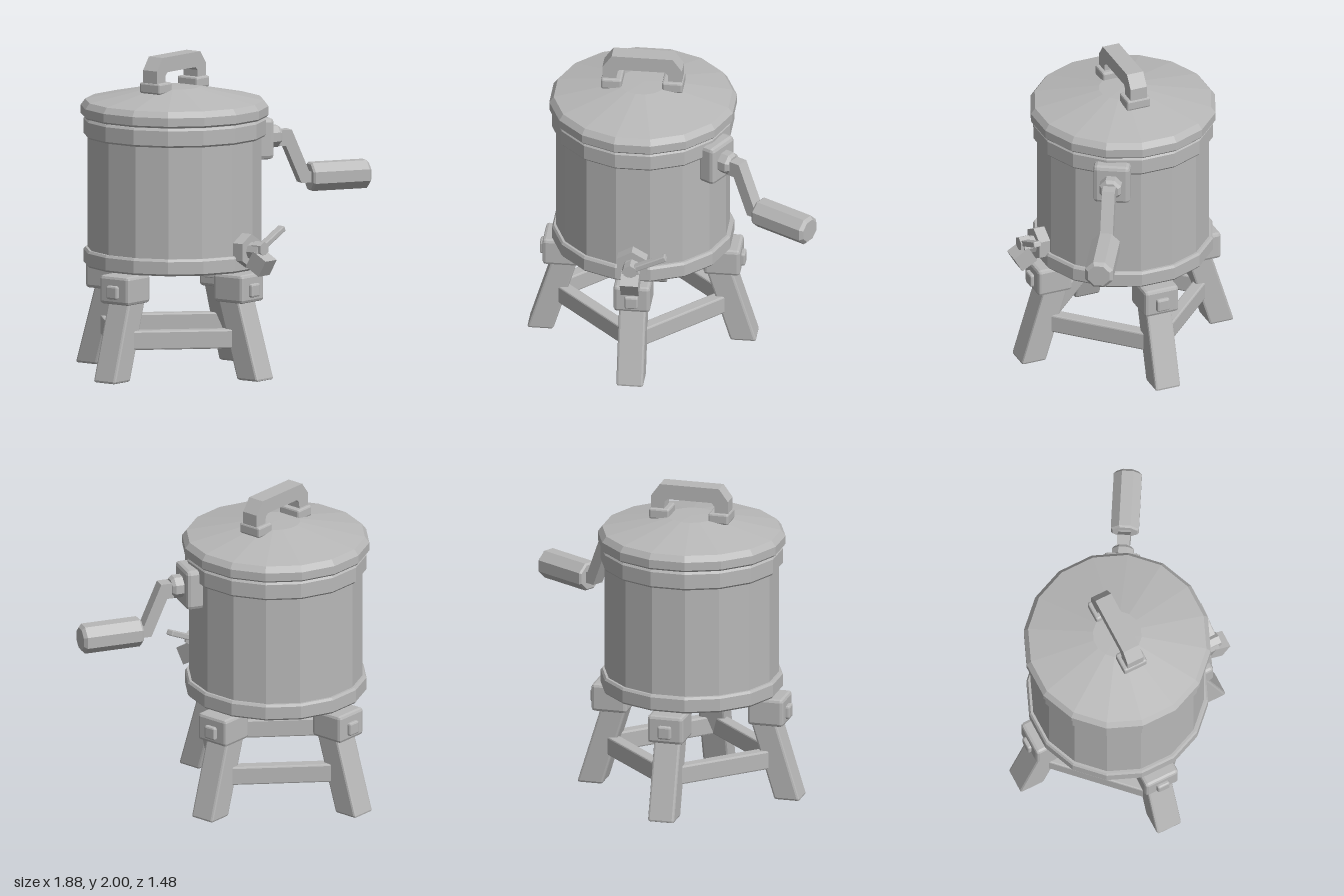
import * as THREE from 'three';
import { RoundedBoxGeometry } from 'three/addons/geometries/RoundedBoxGeometry.js';

export function createModel() {
  const metal = new THREE.MeshStandardMaterial({ color: 0xb8b8b8 });
  metal.name = 'plain grey';
  metal.flatShading = true;

  const model = new THREE.Group();
  model.name = 'crankBarrel';
  const core = new THREE.Group(); // everything is laid out around the barrel axis
  core.name = 'barrelOnStand';
  core.position.set(-0.227, 0, -0.018);
  model.add(core);

  const add = (parent, name, geometry, x = 0, y = 0, z = 0) => {
    const mesh = new THREE.Mesh(geometry, metal);
    mesh.name = name;
    mesh.position.set(x, y, z);
    parent.add(mesh);
    return mesh;
  };
  const group = (parent, name) => {
    const g = new THREE.Group();
    g.name = name;
    parent.add(g);
    return g;
  };
  const box = (w, h, d, bevel = 0.012) => new RoundedBoxGeometry(w, h, d, 1, bevel);
  // Turned prism whose profile gives [distance to flat side, height]
  const prism = (sides, profile) => new THREE.LatheGeometry(
    profile.map(([a, y]) => new THREE.Vector2(a / Math.cos(Math.PI / sides), y)),
    sides, Math.PI / sides);
  // Extruded outline, centred in depth
  const plate = (points, depth) => {
    const shape = new THREE.Shape(points.map(([x, y]) => new THREE.Vector2(x, y)));
    return new THREE.ExtrudeGeometry(shape, { depth, bevelEnabled: false })
      .translate(0, 0, -depth / 2);
  };

  // Barrel, bands and lid
  add(core, 'barrel', prism(16, [[0, 0.695], [0.535, 0.695], [0.535, 1.63], [0, 1.63]]));
  const band = (name, y0, y1) => add(core, name, prism(16, [
    [0.52, y0], [0.55, y0], [0.56, y0 + 0.012], [0.56, y1 - 0.015], [0.55, y1], [0.52, y1]]));
  band('lowerBand', 0.675, 0.78);
  band('upperBand', 1.485, 1.605);
  add(core, 'lid', prism(16, [[0, 1.61], [0.565, 1.61], [0.577, 1.622], [0.577, 1.675],
    [0.55, 1.712], [0.15, 1.795], [0, 1.797]]));

  // Lid handle
  const handle = group(core, 'lidHandle');
  add(handle, 'handleBar', plate([[-0.25, 1.8], [-0.25, 1.92], [-0.192, 2], [0.192, 2],
    [0.25, 1.92], [0.25, 1.8], [0.165, 1.8], [0.162, 1.885], [0.142, 1.905],
    [-0.142, 1.905], [-0.162, 1.885], [-0.165, 1.8]].reverse(), 0.11));
  for (const s of [-1, 1]) add(handle, 'handleFoot', box(0.13, 0.07, 0.16), s * 0.192, 1.808, 0);

  // Stand: four splayed legs joined by a square of rails
  const stand = group(core, 'stand');
  const legGeometry = box(0.165, 0.56, 0.17, 0.014).translate(0, 0.28, 0);
  const p = legGeometry.attributes.position;
  for (let i = 0; i < p.count; i++) p.setX(i, p.getX(i) + 0.64 - 0.306 * p.getY(i));
  for (let i = 0; i < 4; i++) {
    const side = group(stand, 'legAssembly');
    side.rotation.y = i * Math.PI / 2;
    add(side, 'leg', legGeometry);
    add(side, 'legBlock', box(0.23, 0.18, 0.23, 0.02), 0.507, 0.575, 0);
    add(side, 'bolt', box(0.06, 0.085, 0.085), 0.617, 0.563, 0);
    const rail = add(side, 'rail', box(0.78, 0.12, 0.08, 0.01), 0.275, 0.255, 0.275);
    rail.rotation.y = Math.PI / 4;
  }

  // Crank, built along +x and swung round to the front left
  const crank = group(core, 'crank');
  crank.rotation.y = -Math.PI / 6;
  add(crank, 'crankPlate', box(0.12, 0.26, 0.23, 0.025), 0.57, 1.445, 0);
  add(crank, 'crankHub', prism(8, [[0, 0], [0.068, 0], [0.068, 0.065], [0.052, 0.085], [0, 0.085]])
    .rotateZ(-Math.PI / 2), 0.62, 1.447, 0);
  add(crank, 'crankArm', plate([[0.69, 1.385], [0.735, 1.385], [0.84, 1.145], [0.93, 1.145],
    [0.93, 1.205], [0.89, 1.22], [0.775, 1.485], [0.69, 1.485]], 0.08));
  add(crank, 'crankGrip', prism(8, [[0, 0], [0.078, 0], [0.088, 0.012], [0.088, 0.375],
    [0.068, 0.395], [0, 0.395]]).rotateZ(-Math.PI / 2), 0.905, 1.178, 0);

  // Tap on the front
  const tap = group(core, 'tap');
  const rod = (sides, r, length) => new THREE.CylinderGeometry(r, r, length, sides).rotateX(Math.PI / 2);
  add(tap, 'tapPlate', rod(6, 0.108, 0.09), 0, 0.808, 0.563);
  add(tap, 'tapBody', rod(8, 0.055, 0.1), 0, 0.81, 0.64);
  const spout = add(tap, 'spout', new THREE.BoxGeometry(0.114, 0.115, 0.115), 0, 0.739, 0.686);
  spout.rotation.x = 0.52;
  add(tap, 'valveStem', rod(6, 0.046, 0.07), 0, 0.83, 0.675);
  const lever = add(tap, 'lever', box(0.24, 0.036, 0.05, 0.006), 0.115, 0.885, 0.677);
  lever.rotation.z = 0.44;

  return model;
}
